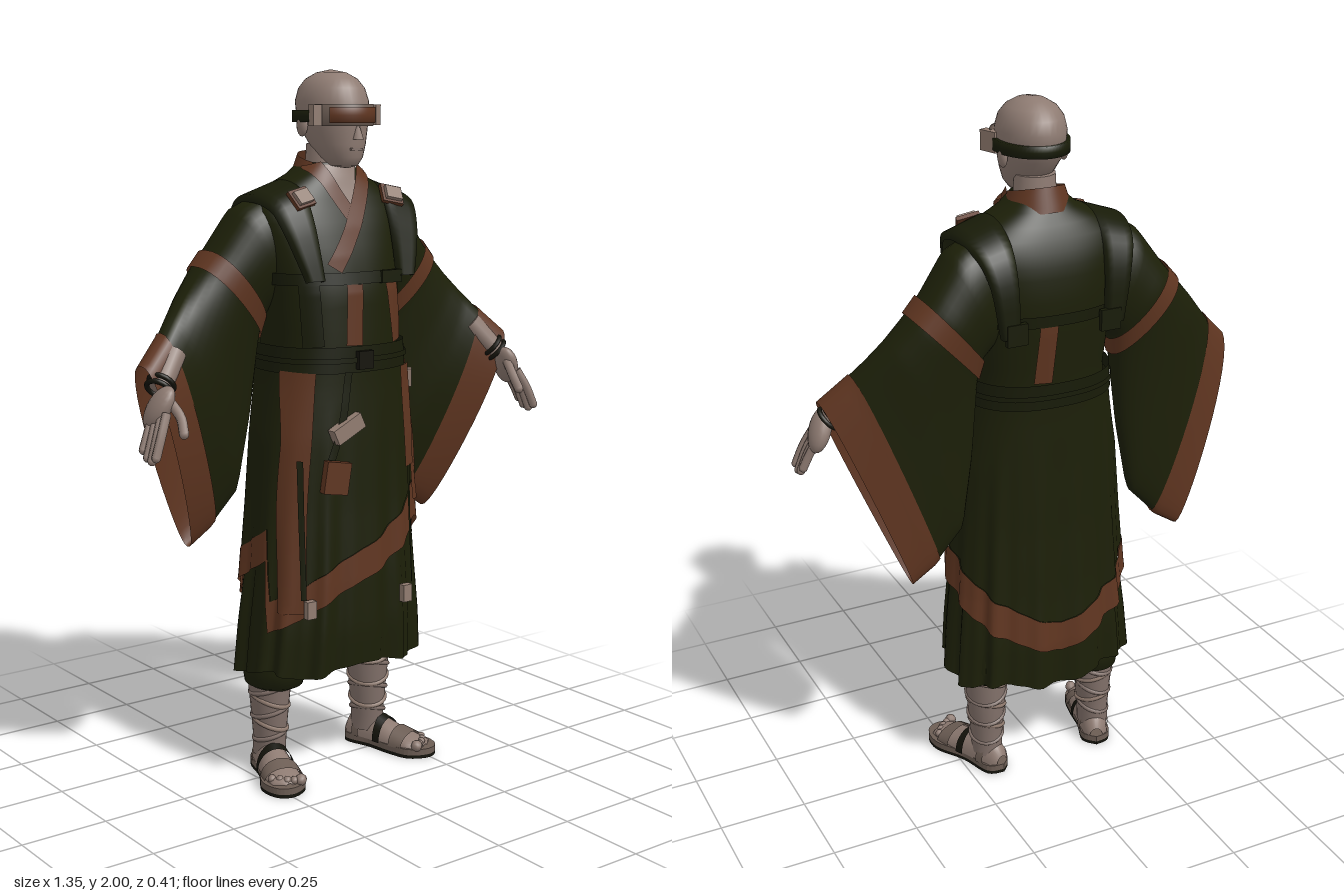
import * as THREE from 'three';
import { mergeVertices } from 'three/addons/utils/BufferGeometryUtils.js';

const mat = (name, color) => new THREE.MeshStandardMaterial({ name, color, side: THREE.DoubleSide });
const M = {
  robe: mat('robe green', 0x1c1f08), belt: mat('belt green', 0x181b08), trim: mat('trim brown', 0x5f3520),
  skin: mat('skin', 0x8e7b72), wrap: mat('leg wrap', 0x82716a), sole: mat('sandal', 0x6c5d54),
  dark: mat('dark leather', 0x14130b), pale: mat('pale canvas', 0x917c70),
};
const V = (x, y, z) => new THREE.Vector3(x, y, z);

function add(parent, name, geo, material, pos = [0, 0, 0], rot = [0, 0, 0]) {
  const m = new THREE.Mesh(geo, material);
  m.name = name;
  m.position.set(...pos);
  m.rotation.set(...rot);
  parent.add(m);
  return m;
}

// surface through f(u, v) on a regular grid, welded and smooth
function grid(nu, nv, f) {
  const p = [], idx = [];
  for (let j = 0; j <= nv; j++) for (let i = 0; i <= nu; i++) p.push(...f(i / nu, j / nv));
  for (let j = 0; j < nv; j++) for (let i = 0; i < nu; i++) {
    const a = j * (nu + 1) + i, b = a + nu + 1;
    idx.push(a, b, a + 1, a + 1, b, b + 1);
  }
  let g = new THREE.BufferGeometry();
  g.setAttribute('position', new THREE.Float32BufferAttribute(p, 3));
  g.setIndex(idx);
  g = mergeVertices(g, 1e-5);
  g.computeVertexNormals();
  return g;
}

// linear lookup in rows sorted by their first value
function lookup(rows, t) {
  let i = 0;
  while (i < rows.length - 2 && t > rows[i + 1][0]) i++;
  const a = rows[i], b = rows[i + 1];
  const k = THREE.MathUtils.clamp((t - a[0]) / (b[0] - a[0]), 0, 1);
  return a.map((q, n) => q + (b[n] - q) * k);
}

// body section: height, half width, front z, back z
const BODY = [
  [0.30, 0.28, 0.175, -0.18], [0.45, 0.268, 0.185, -0.178], [0.6, 0.252, 0.183, -0.165], [0.8, 0.238, 0.175, -0.155],
  [1.0, 0.225, 0.172, -0.152], [1.15, 0.202, 0.168, -0.152], [1.25, 0.192, 0.168, -0.155], [1.4, 0.205, 0.162, -0.17],
  [1.5, 0.225, 0.143, -0.175], [1.58, 0.24, 0.12, -0.168], [1.64, 0.24, 0.095, -0.15], [1.68, 0.185, 0.08, -0.13],
  [1.71, 0.115, 0.07, -0.11], [1.75, 0.07, 0.055, -0.085],
];
const P = 2.4;
const sgnPow = (c, e) => Math.sign(c) * Math.abs(c) ** e;
function surf(th, y, off = 0) {
  const [, rx, zf, zb] = lookup(BODY, y);
  const fold = THREE.MathUtils.clamp((1.1 - y) / 0.8, 0, 1) * 0.01 * (Math.sin(13 * th) + 0.6 * Math.sin(22 * th + 1));
  const o = off + fold, rz = (zf - zb) / 2;
  return [(rx + o) * sgnPow(Math.cos(th), 2 / P), y, (zf + zb) / 2 + (rz + o) * sgnPow(Math.sin(th), 2 / P)];
}
// band of cloth all round the body between two hem lines
const shell = (off, bottom, top, nv = 10) => grid(120, nv, (u, v) => {
  const th = Math.PI * (2 * u - 0.5), b = bottom(th);
  return surf(th, b + (top(th) - b) * v, off);
});

// cloth strip lying on the body along front or back points [x, y]
function ribbon(path, width, off, back = false) {
  const curve = new THREE.CatmullRomCurve3(path.map(([x, y]) => V(x, y, 0)));
  return grid(4, 24, (u, v) => {
    const c = curve.getPoint(v), t = curve.getTangent(v), w = (typeof width === 'function' ? width(v) : width) * (u - 0.5);
    const x = c.x - t.y * w, y = c.y + t.x * w;
    const k = THREE.MathUtils.clamp(x / lookup(BODY, y)[1], -0.99, 0.99);
    const th = Math.acos(sgnPow(k, P / 2));
    return surf(back ? -th : th, y, off);
  });
}

// closed rings of [y, half width, front z, back z]
const rings = (rows, n = 32) => grid(n, rows.length - 1, (u, v) => {
  const [y, rx, zf, zb] = rows[Math.round(v * (rows.length - 1))], a = u * 2 * Math.PI;
  return [rx * Math.cos(a), y, (zf + zb) / 2 + (zf - zb) / 2 * Math.sin(a)];
});

function limb(parent, name, a, b, r0, r1, material) {
  const d = b.clone().sub(a);
  const m = add(parent, name, new THREE.CylinderGeometry(r1, r0, d.length(), 14), material);
  m.position.copy(a).addScaledVector(d, 0.5);
  m.quaternion.setFromUnitVectors(V(0, 1, 0), d.normalize());
}
function finger(parent, name, pts, r) {
  add(parent, name, new THREE.TubeGeometry(new THREE.CatmullRomCurve3(pts), 8, r, 8), M.skin);
  const tip = pts[pts.length - 1];
  add(parent, name + 'Tip', new THREE.SphereGeometry(r, 8, 6), M.skin, [tip.x, tip.y, tip.z]);
}

function buildHead(g) {
  add(g, 'head', rings([
    [1.735, 0, 0.09, 0.08], [1.742, 0.035, 0.118, 0.03], [1.765, 0.054, 0.13, 0], [1.8, 0.07, 0.135, -0.045], [1.84, 0.082, 0.137, -0.078],
    [1.88, 0.089, 0.14, -0.094], [1.915, 0.092, 0.137, -0.098], [1.95, 0.084, 0.122, -0.086], [1.975, 0.066, 0.098, -0.064],
    [1.992, 0.038, 0.064, -0.03], [2, 0, 0.02, 0.01]]), M.skin);
  add(g, 'neck', new THREE.CylinderGeometry(0.056, 0.068, 0.2, 20), M.skin, [0, 1.7, -0.005]);
  add(g, 'nose', new THREE.ConeGeometry(0.016, 0.05, 8), M.skin, [0, 1.838, 0.138]);
  add(g, 'mouth', new THREE.BoxGeometry(0.04, 0.006, 0.008), M.wrap, [0, 1.787, 0.131]);
  // visor and strap around the head
  const band = (r, h, a0, a1, y) => grid(40, 4, (u, v) => {
    const a = (a0 + (a1 - a0) * u) * Math.PI, o = (v === 0 || v === 1) ? -0.012 : 0;
    return [(0.094 + r + o) * Math.cos(a), y + h * (Math.min(Math.max(v, 0.25), 0.75) * 2 - 1), 0.022 + (0.12 + r + o) * Math.sin(a)];
  });
  add(g, 'visorFrame', band(0.009, 0.058, 0.12, 0.88, 1.878), M.sole);
  add(g, 'visor', band(0.014, 0.042, 0.24, 0.76, 1.878), M.trim);
  add(g, 'headStrap', band(0.007, 0.032, 0.88, 2.12, 1.875), M.belt);
  for (const s of [-1, 1]) {
    add(g, 'visorHinge', new THREE.BoxGeometry(0.024, 0.056, 0.055), M.pale, [s * 0.094, 1.878, 0.07], [0, s * 0.35, 0]);
    const ear = add(g, 'ear', new THREE.SphereGeometry(0.03, 12, 8), M.skin, [s * 0.09, 1.85, 0.005]);
    ear.scale.set(0.4, 1, 0.7);
  }
}

// sleeve stations: top x, y, z; bottom x, y, z; half thickness
const SLEEVE = [
  [0.17, 1.68, -0.04, 0.13, 1.4, -0.04, 0.09], [0.275, 1.63, -0.05, 0.16, 1.36, -0.05, 0.108], [0.355, 1.52, -0.06, 0.195, 1.33, -0.06, 0.106],
  [0.4, 1.47, -0.06, 0.21, 1.27, -0.06, 0.102], [0.46, 1.405, -0.045, 0.23, 1.05, -0.07, 0.096], [0.505, 1.355, -0.025, 0.265, 0.84, -0.08, 0.09],
  [0.55, 1.305, 0, 0.355, 0.745, -0.085, 0.086], [0.625, 1.235, 0.03, 0.425, 0.7, -0.085, 0.082],
];
function sleevePart(i0, i1, off) {
  return grid(36, Math.ceil((i1 - i0) * 5), (u, v) => {
    const t = i0 + (i1 - i0) * v, i = Math.min(Math.floor(t), SLEEVE.length - 2), k = t - i;
    const s = SLEEVE[i].map((q, n) => q + (SLEEVE[i + 1][n] - q) * k), a = u * 2 * Math.PI;
    const down = 0.5 - 0.5 * Math.cos(a), flat = 1 - 0.4 * down * Math.min(1, t / 4);
    const e = s.slice(0, 3).map((q, n) => q + (s[n + 3] - q) * down);
    // broad at the wrist, narrowing to the hanging tip
    return [e[0] + off * Math.cos(a), e[1] + off * Math.cos(a), e[2] + (s[6] * flat + off) * sgnPow(Math.sin(a), 0.8)];
  });
}

function buildArm(g) {
  add(g, 'sleeve', sleevePart(0, 6.02, 0), M.robe);
  add(g, 'sleeveStripe', sleevePart(2.1, 2.95, 0.005), M.trim);
  add(g, 'sleeveCuff', sleevePart(5.85, 7, 0.003), M.trim);
  limb(g, 'forearm', V(0.52, 1.262, 0.015), V(0.588, 1.18, 0.055), 0.036, 0.031, M.skin);
  // hand
  const palm = add(g, 'palm', new THREE.SphereGeometry(0.05, 16, 12), M.skin, [0.608, 1.135, 0.085], [0.35, 0.2, 0.4]);
  palm.scale.set(0.55, 1.3, 0.85);
  for (let i = 0; i < 4; i++) {
    const z = 0.055 + i * 0.021, l = [0.85, 1, 1.05, 0.95][i];
    finger(g, 'finger', [V(0.612, 1.125, z + 0.01), V(0.638, 1.125 - 0.055 * l, z + 0.026), V(0.66, 1.125 - 0.112 * l, z + 0.034)], 0.0125);
  }
  finger(g, 'thumb', [V(0.592, 1.16, 0.1), V(0.58, 1.115, 0.145), V(0.585, 1.075, 0.168)], 0.0135);
  for (const k of [0, 1]) {
    const ring = add(g, 'bracelet', new THREE.TorusGeometry(0.035, 0.007, 8, 20), M.dark, [0.578 + k * 0.012, 1.192 - k * 0.014, 0.05 + k * 0.007]);
    ring.quaternion.setFromUnitVectors(V(0, 0, 1), V(0.66, -0.7, 0.35).normalize());
  }
}

function buildLeg(g, trouserBottom) {
  const b = trouserBottom;
  add(g, 'trouserCuff', rings([[b, 0.055, 0.03, -0.1], [b + 0.015, 0.08, 0.06, -0.125], [b + 0.06, 0.088, 0.07, -0.13], [b + 0.2, 0.08, 0.07, -0.12]]).translate(0.17, 0, 0), M.robe);
  add(g, 'legWrap', rings([[0.05, 0.045, 0.01, -0.095], [0.1, 0.045, 0.015, -0.095], [0.15, 0.049, 0.018, -0.098], [0.25, 0.058, 0.028, -0.106], [0.42, 0.06, 0.035, -0.1]], 20).translate(0.18, 0, 0), M.wrap);
  for (let i = 0; i < 6; i++) {
    const r = 0.046 + i * 0.0025;
    add(g, 'wrapTurn', new THREE.TorusGeometry(r, 0.007, 6, 24).scale(1, 1.17, 1), i % 2 ? M.pale : M.wrap,
      [0.18, 0.11 + i * 0.036, -0.039], [Math.PI / 2 + (i % 2 ? 0.2 : -0.2), i % 2 ? 0.25 : -0.25, 0]);
  }
  // sandal and foot, turned outward
  const foot = new THREE.Group();
  foot.name = 'foot';
  foot.position.set(0.18, 0, -0.05);
  foot.rotation.y = 0.32;
  g.add(foot);
  const sole = new THREE.Shape();
  sole.setFromPoints(new THREE.SplineCurve([[0, 0.07], [0.042, 0.04], [0.044, -0.06], [0.066, -0.16], [0.04, -0.225], [-0.01, -0.235],
    [-0.055, -0.19], [-0.055, -0.12], [-0.042, -0.04], [-0.04, 0.04], [0, 0.07]].map(q => new THREE.Vector2(...q))).getPoints(50));
  const flat = d => new THREE.ExtrudeGeometry(sole, { depth: d, bevelEnabled: false }).rotateX(-Math.PI / 2);
  add(foot, 'sandalSole', flat(0.018), M.sole, [0, 0.01, 0]);
  add(foot, 'soleTread', flat(0.01), M.dark);
  const rows = [[-0.06, 0.02, 0.05], [-0.045, 0.036, 0.08], [0, 0.042, 0.1], [0.05, 0.046, 0.095], [0.11, 0.052, 0.07], [0.17, 0.052, 0.052], [0.2, 0.045, 0.045], [0.215, 0.01, 0.033]];
  const arch = (z, o) => u => {
    const [, w, h] = lookup(rows, z), a = u * Math.PI;
    return [(w + o) * Math.cos(a), 0.025 + (h - 0.025 + o) * Math.sin(a), z];
  };
  add(foot, 'footTop', grid(16, 7, (u, v) => arch(rows[Math.round(v * 7)][0], 0)(u)), M.skin);
  for (const [z0, z1, m] of [[0.12, 0.165, M.sole], [0.06, 0.085, M.dark], [-0.02, 0.005, M.sole]])
    add(foot, 'sandalStrap', grid(16, 3, (u, v) => arch(z0 + (z1 - z0) * v, 0.006)(u)), m);
  for (let i = 0; i < 5; i++)
    add(foot, 'toe', new THREE.SphereGeometry(i ? 0.012 : 0.017, 8, 6), M.skin, [-0.036 + i * 0.019, 0.038, 0.208 - i * i * 0.002]);
}

export function createModel() {
  const model = new THREE.Group();
  model.name = 'robedFigure';
  const rad = d => d * Math.PI / 180;
  buildHead(model);

  // under robe and torso
  add(model, 'underRobe', shell(0, th => 0.325 + 0.012 * Math.sin(5 * th) + 0.01 * Math.sin(th), () => 1.75, 44), M.robe);
  // outer skirt with slanted hem
  const HEM = [[-90, 0.42], [-45, 0.51], [0, 0.61], [38, 0.74], [90, 0.605], [135, 0.5], [163, 0.455], [168, 0.66], [180, 0.63], [225, 0.52], [270, 0.42]]
    .map(([d, y]) => [rad(d), y]);
  const hem = th => lookup(HEM, th)[1], bandTop = th => hem(th) + 0.09 + 0.02 * Math.max(0, Math.cos(th));
  add(model, 'outerSkirt', shell(0.014, bandTop, () => 1.22, 20), M.robe);
  add(model, 'skirtHemBand', shell(0.016, hem, bandTop), M.trim);
  add(model, 'skirtLapelRight', ribbon([[-0.165, 1.19], [-0.195, 0.85], [-0.21, 0.52]], 0.055, 0.021), M.trim);
  add(model, 'skirtLapelLeft', ribbon([[0.16, 1.19], [0.19, 0.98], [0.215, 0.79]], 0.055, 0.021), M.trim);

  // neckline
  add(model, 'chest', ribbon([[0, 1.745], [0, 1.6]], v => 0.125 * (1 - v) + 0.005, 0.004), M.skin);
  add(model, 'collarRight', ribbon([[-0.07, 1.745], [-0.04, 1.67], [0.01, 1.58]], 0.042, 0.01), M.trim);
  add(model, 'collarLeft', ribbon([[0.07, 1.745], [0.035, 1.66], [-0.03, 1.55], [-0.085, 1.47]], 0.046, 0.014), M.trim);
  add(model, 'collarBack', grid(30, 4, (u, v) => {
    const a = Math.PI * (0.85 + 1.3 * u), r = 0.098 - 0.022 * v;
    return [r * Math.cos(a), 1.695 + 0.065 * v - 0.02 * Math.sin(a), -0.012 + r * 1.02 * Math.sin(a)];
  }), M.trim);

  // belts
  const belt = (name, y0, y1, off) => add(model, name, shell(off, () => y0, () => y1, 2), M.belt);
  belt('waistBelt', 1.185, 1.258, 0.018);
  belt('waistCord', 1.213, 1.228, 0.023);
  belt('chestBelt', 1.425, 1.458, 0.01);
  add(model, 'beltKnot', new THREE.BoxGeometry(0.05, 0.05, 0.02), M.dark, [-0.015, 1.22, 0.19]);
  add(model, 'chestBuckle', new THREE.BoxGeometry(0.07, 0.035, 0.015), M.belt, [0.1, 1.44, 0.158]);
  for (const [x, back] of [[-0.035, false], [0.13, false], [0.05, true]])
    add(model, 'torsoStrip', ribbon([[x * 0.8, 1.425], [x, 1.258]], 0.05, 0.008, back), M.trim);
  add(model, 'torsoPanel', ribbon([[-0.15, 1.425], [-0.14, 1.258]], 0.045, 0.008), M.belt);

  // shoulder harness
  const over = new THREE.CatmullRomCurve3([[0.166, 1.44], [0.146, 1.52], [0.12, 1.6], [0.08, 1.668], [0, 1.698], [-0.08, 1.69], [-0.145, 1.645], [-0.178, 1.56], [-0.185, 1.41]]
    .map(([z, y]) => V(0, y, z)));
  for (const s of [-1, 1]) {
    // folded edges, sloping down toward the arm
    add(model, 'shoulderStrap', grid(6, 32, (u, v) => {
      const c = over.getPoint(v), t = over.getTangent(v), d = (u < 0.1 || u > 0.9) ? 0.022 : 0, w = Math.min(Math.max(u * 1.5 - 0.25, 0), 1);
      const top = Math.sin(v * Math.PI), x = 0.155 + 0.035 * top + (w - 0.5) * (0.05 + 0.055 * top);
      return [s * x, c.y - d * Math.abs(t.z) - 0.35 * (x - 0.15) * top, c.z - d * t.y];
    }), M.belt);
    add(model, 'shoulderBuckle', new THREE.BoxGeometry(0.05, 0.04, 0.016), M.pale, [s * 0.155, 1.662, 0.098], [-0.65, 0, -s * 0.25]);
    add(model, 'shoulderBuckleBase', new THREE.BoxGeometry(0.066, 0.058, 0.012), M.trim, [s * 0.155, 1.658, 0.09], [-0.65, 0, -s * 0.25]);
    add(model, 'backTab', new THREE.BoxGeometry(0.06, 0.06, 0.015), M.belt, [s * 0.14, 1.42, -0.18]);

    const side = new THREE.Group();
    side.name = s > 0 ? 'leftLimbs' : 'rightLimbs';
    side.scale.x = s;
    buildArm(side);
    buildLeg(side, s > 0 ? 0.3 : 0.255);
    model.add(side);
  }

  // hanging gear
  add(model, 'sash', ribbon([[0.13, 1.19], [0.145, 0.9]], 0.045, 0.028), M.trim);
  add(model, 'sashCord', ribbon([[0.14, 0.91], [0.14, 0.56]], 0.012, 0.028), M.belt);
  add(model, 'cordTagLeft', new THREE.BoxGeometry(0.03, 0.05, 0.02), M.pale, [0.14, 0.53, 0.188]);
  add(model, 'sideCord', ribbon([[-0.18, 0.95], [-0.185, 0.56]], 0.012, 0.028), M.belt);
  add(model, 'cordTagRight', new THREE.BoxGeometry(0.03, 0.05, 0.02), M.pale, [-0.19, 0.535, 0.175]);
  add(model, 'scrollPouch', new THREE.BoxGeometry(0.1, 0.045, 0.03), M.pale, [-0.075, 1.035, 0.19], [0, 0, 0.45]);
  add(model, 'pouchStrap', ribbon([[-0.06, 1.19], [-0.08, 1.05], [-0.11, 0.95]], 0.02, 0.025), M.belt);
  add(model, 'beltPouch', new THREE.BoxGeometry(0.075, 0.09, 0.025), M.trim, [-0.11, 0.9, 0.187], [0, -0.15, -0.15]);
  add(model, 'hipPouch', new THREE.BoxGeometry(0.035, 0.05, 0.04), M.pale, [0.2, 1.14, 0.1], [0, 0.9, 0]);
  return model;
}
